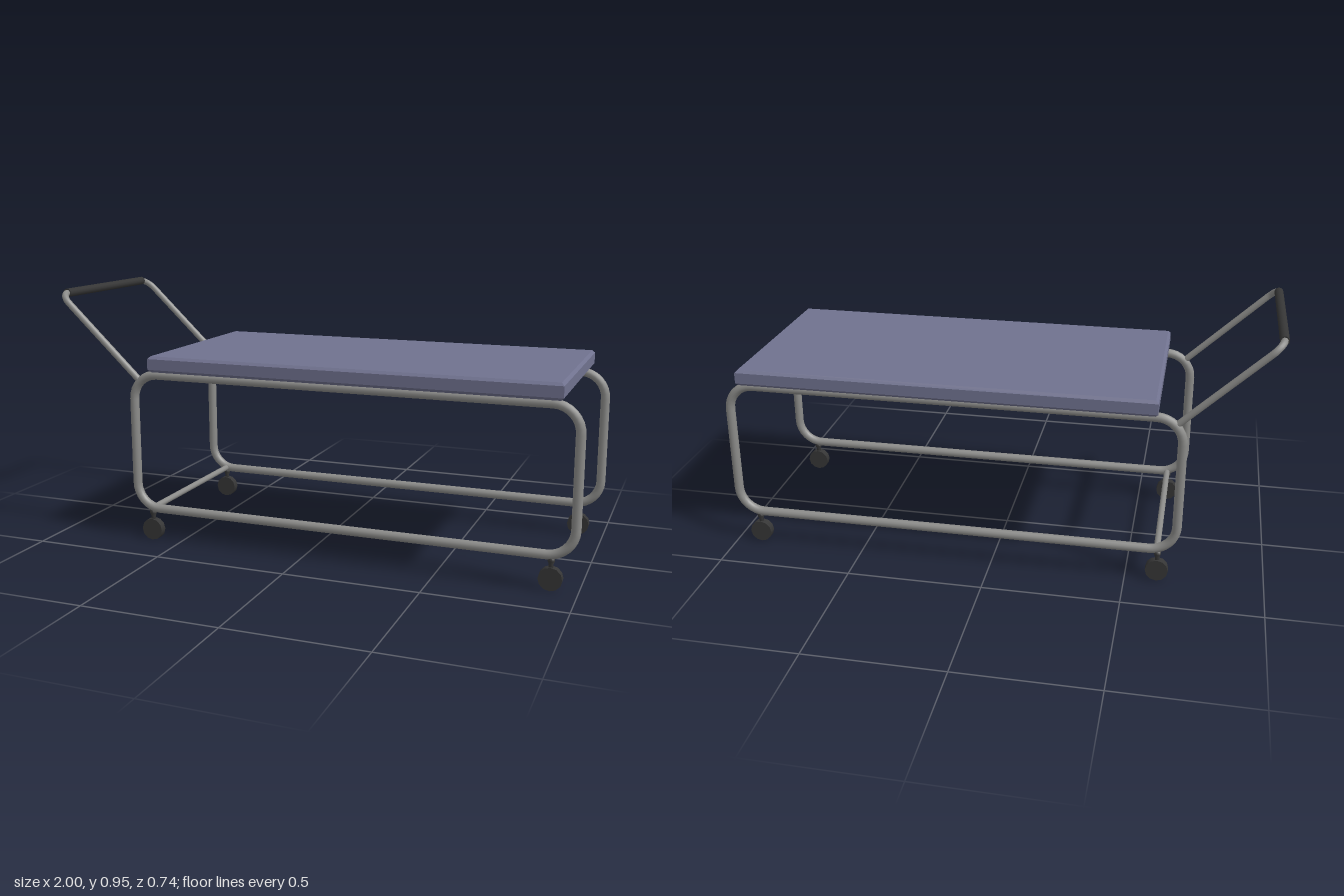
import * as THREE from 'three';

const steel = new THREE.MeshStandardMaterial({ name: 'steel grey', color: 0x8c8c8a });
const cushion = new THREE.MeshStandardMaterial({ name: 'slate blue', color: 0x70728f });
const rubber = new THREE.MeshStandardMaterial({ name: 'black rubber', color: 0x363636 });

// Path through corner points, with each bend rounded by a given radius
function roundedPath(points, radius, closed) {
  const path = new THREE.CurvePath();
  const n = points.length;
  const toward = (a, b) => a.clone().add(b.clone().sub(a).setLength(radius));
  let pen = closed ? toward(points[0], points[1]) : points[0];
  const first = pen;
  for (let i = 1; i < (closed ? n + 1 : n - 1); i++) {
    const p = points[i % n];
    const start = toward(p, points[(i - 1) % n]);
    const end = toward(p, points[(i + 1) % n]);
    path.add(new THREE.LineCurve3(pen, start));
    // Handles at 0.55 of the radius give a circular bend
    path.add(new THREE.CubicBezierCurve3(start, start.clone().lerp(p, 0.55), end.clone().lerp(p, 0.55), end));
    pen = end;
  }
  path.add(new THREE.LineCurve3(pen, closed ? first : points[n - 1]));
  if (closed) path.curves.pop();
  return path;
}

export function createModel() {
  const model = new THREE.Group();
  model.name = 'trolley';
  const add = (name, geometry, material, x = 0, y = 0, z = 0, parent = model) => {
    const mesh = new THREE.Mesh(geometry, material);
    mesh.name = name;
    mesh.position.set(x, y, z);
    parent.add(mesh);
    return mesh;
  };
  const v = (x, y, z) => new THREE.Vector3(x, y, z);

  // Padded top with bevelled edges
  const bevel = 0.01;
  const plan = new THREE.Shape([[-0.75, -0.36], [0.75, -0.36], [0.75, 0.36], [-0.75, 0.36]]
    .map(([x, y]) => new THREE.Vector2(x, y)));
  const pad = new THREE.ExtrudeGeometry(plan, {
    depth: 0.04, bevelEnabled: true, bevelSize: bevel, bevelThickness: bevel, bevelSegments: 1,
  });
  pad.rotateX(-Math.PI / 2);
  add('paddedTop', pad, cushion, 0.17, 0.67, 0);

  // Side loops of bent tube
  const loop = roundedPath(
    [v(-0.678, 0.124, 0), v(0.983, 0.124, 0), v(0.983, 0.642, 0), v(-0.678, 0.642, 0)], 0.095, true);
  const loopGeometry = new THREE.TubeGeometry(loop, 220, 0.017, 12, true);

  // Caster parts
  const wheel = new THREE.CylinderGeometry(0.0415, 0.0415, 0.028, 12).rotateX(Math.PI / 2);
  const stem = new THREE.LatheGeometry(
    [[0, 0.06], [0.009, 0.06], [0.008, 0.092], [0.013, 0.104], [0.013, 0.118], [0, 0.118]]
      .map(([x, y]) => new THREE.Vector2(x, y)), 12);

  for (const [side, z] of [['left', 0.32], ['right', -0.32]]) {
    add(side + 'SideFrame', loopGeometry, steel, 0, 0, z);
    for (const x of [-0.615, 0.905]) {
      const caster = new THREE.Group();
      caster.name = 'caster';
      caster.position.set(x, 0, z);
      model.add(caster);
      add('wheel', wheel, rubber, 0, 0.0415, 0, caster);
      add('stem', stem, rubber, 0, 0, 0, caster);
    }
  }

  // Lower crossbar between the side loops
  add('crossbar', new THREE.CylinderGeometry(0.0115, 0.0115, 0.63, 12).rotateX(Math.PI / 2),
    steel, -0.612, 0.126, 0);

  // Sloping push handle with a rubber grip
  const handle = roundedPath(
    [v(-0.65, 0.614, 0.32), v(-0.984, 0.93, 0.32), v(-0.984, 0.93, -0.32), v(-0.65, 0.614, -0.32)], 0.05, false);
  add('pushHandle', new THREE.TubeGeometry(handle, 160, 0.0125, 12), steel);
  add('handleGrip', new THREE.CylinderGeometry(0.0165, 0.0165, 0.555, 12).rotateX(Math.PI / 2),
    rubber, -0.984, 0.93, 0);

  return model;
}
